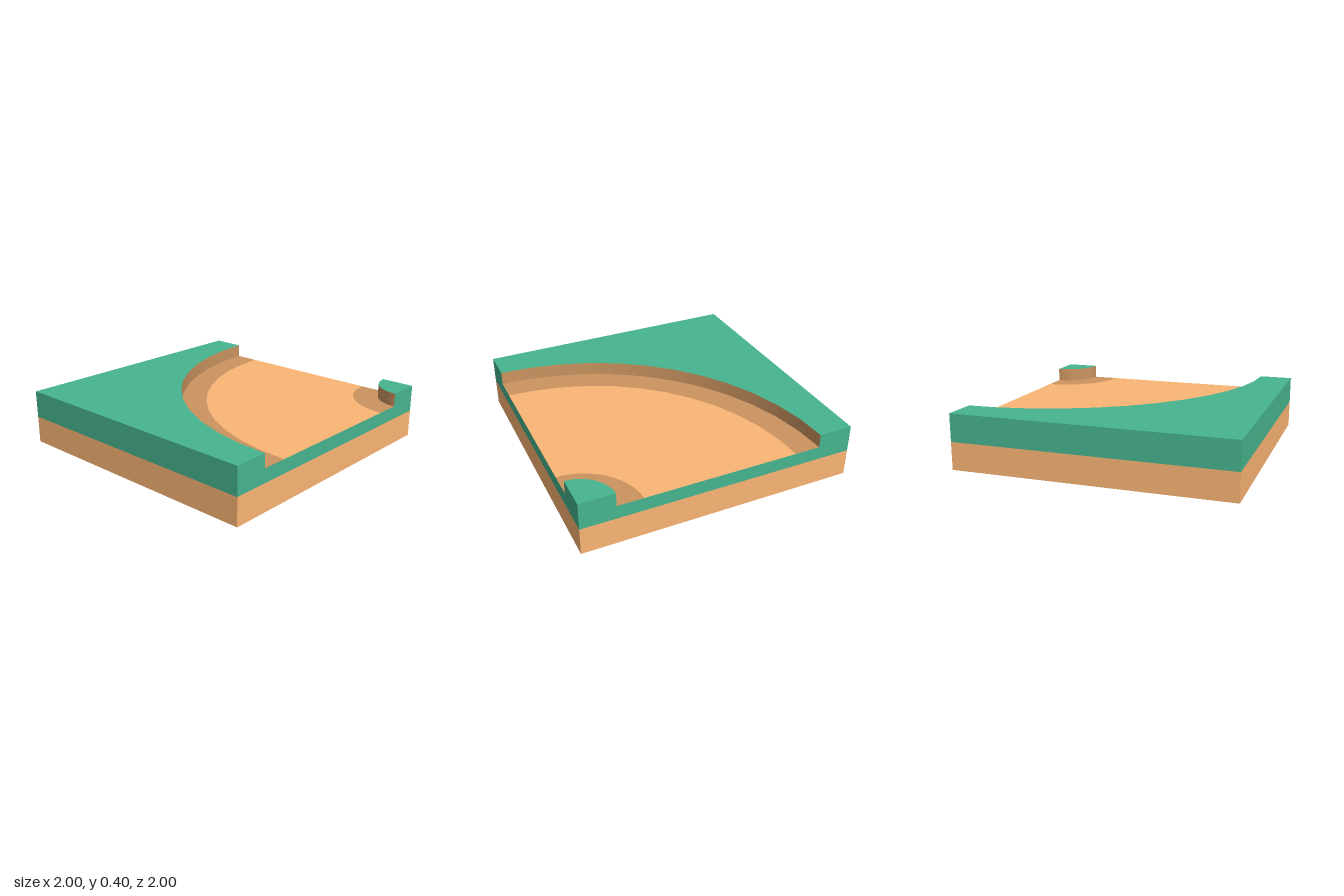
import * as THREE from 'three';

const GRASS = 0x46b48e, DIRT = 0xfbb574, DARK_DIRT = 0xcb9460;
const BASE_TOP = 0.2, PATH_Y = 0.3, TOP = 0.4;
const INNER = 0.25, OUTER = 1.75, SHOULDER = 0.1875, SEGMENTS = 12;

export function createModel() {
  const tile = new THREE.Group();
  tile.name = 'curvedPathTile';

  const materials = {};
  const add = (name, geometry, color) => {
    materials[color] ??= new THREE.MeshStandardMaterial({ color });
    const mesh = new THREE.Mesh(geometry, materials[color]);
    mesh.name = name;
    tile.add(mesh);
  };
  const polygon = (pts) =>
    new THREE.ShapeGeometry(new THREE.Shape(pts.map(([x, y]) => new THREE.Vector2(x, y))));

  // Grass edge outlines: plain at the back and right, notched where the path exits
  const plain = [[-1, BASE_TOP], [1, BASE_TOP], [1, TOP], [-1, TOP]];
  const notched = [[-1, BASE_TOP], [1, BASE_TOP], [1, TOP], [0.75, TOP],
    [0.75, PATH_Y], [-0.75, PATH_Y], [-0.75, TOP], [-1, TOP]];

  // Four sides: dirt layer below, grass layer above
  ['front', 'left', 'back', 'right'].forEach((side, i) => {
    const turn = i * Math.PI / 2;
    const dirt = new THREE.PlaneGeometry(2, BASE_TOP).translate(0, BASE_TOP / 2, 1);
    add(side + 'DirtSide', dirt.rotateY(turn), DIRT);
    const grass = polygon(i < 2 ? notched : plain).translate(0, 0, 1);
    add(side + 'GrassSide', grass.rotateY(turn), GRASS);
  });

  // Underside
  add('underside', new THREE.PlaneGeometry(2, 2).rotateX(Math.PI / 2), DIRT);

  // Large grass top around the outside of the bend
  const lawn = new THREE.Shape();
  lawn.moveTo(-1, 1);
  lawn.lineTo(-1, -1);
  lawn.lineTo(1 - OUTER, -1);
  lawn.absarc(1, -1, OUTER, Math.PI, Math.PI / 2, true);
  lawn.lineTo(1, 1);
  lawn.closePath();
  const lawnTop = new THREE.ShapeGeometry(lawn, SEGMENTS / 2); // arcs get twice the divisions
  add('outerGrassTop', lawnTop.rotateX(-Math.PI / 2).translate(0, TOP, 0), GRASS);

  // Small grass corner inside the bend
  const corner = new THREE.CircleGeometry(INNER, SEGMENTS, Math.PI / 2, Math.PI / 2);
  add('innerGrassTop', corner.rotateX(-Math.PI / 2).translate(1, TOP, 1), GRASS);

  // Path trench: each band is a quarter turn about the front left corner
  const bands = [
    ['outerBank', OUTER, TOP, OUTER, PATH_Y, DARK_DIRT],
    ['outerShoulder', OUTER, PATH_Y, OUTER - SHOULDER, PATH_Y, DARK_DIRT],
    ['path', OUTER - SHOULDER, PATH_Y, INNER + SHOULDER, PATH_Y, DIRT],
    ['innerShoulder', INNER + SHOULDER, PATH_Y, INNER, PATH_Y, DARK_DIRT],
    ['innerBank', INNER, PATH_Y, INNER, TOP, DARK_DIRT],
  ];
  for (const [name, r0, y0, r1, y1, color] of bands) {
    const profile = [new THREE.Vector2(r0, y0), new THREE.Vector2(r1, y1)];
    const band = new THREE.LatheGeometry(profile, SEGMENTS, Math.PI, Math.PI / 2);
    add(name, band.translate(1, 0, 1), color);
  }
  return tile;
}
